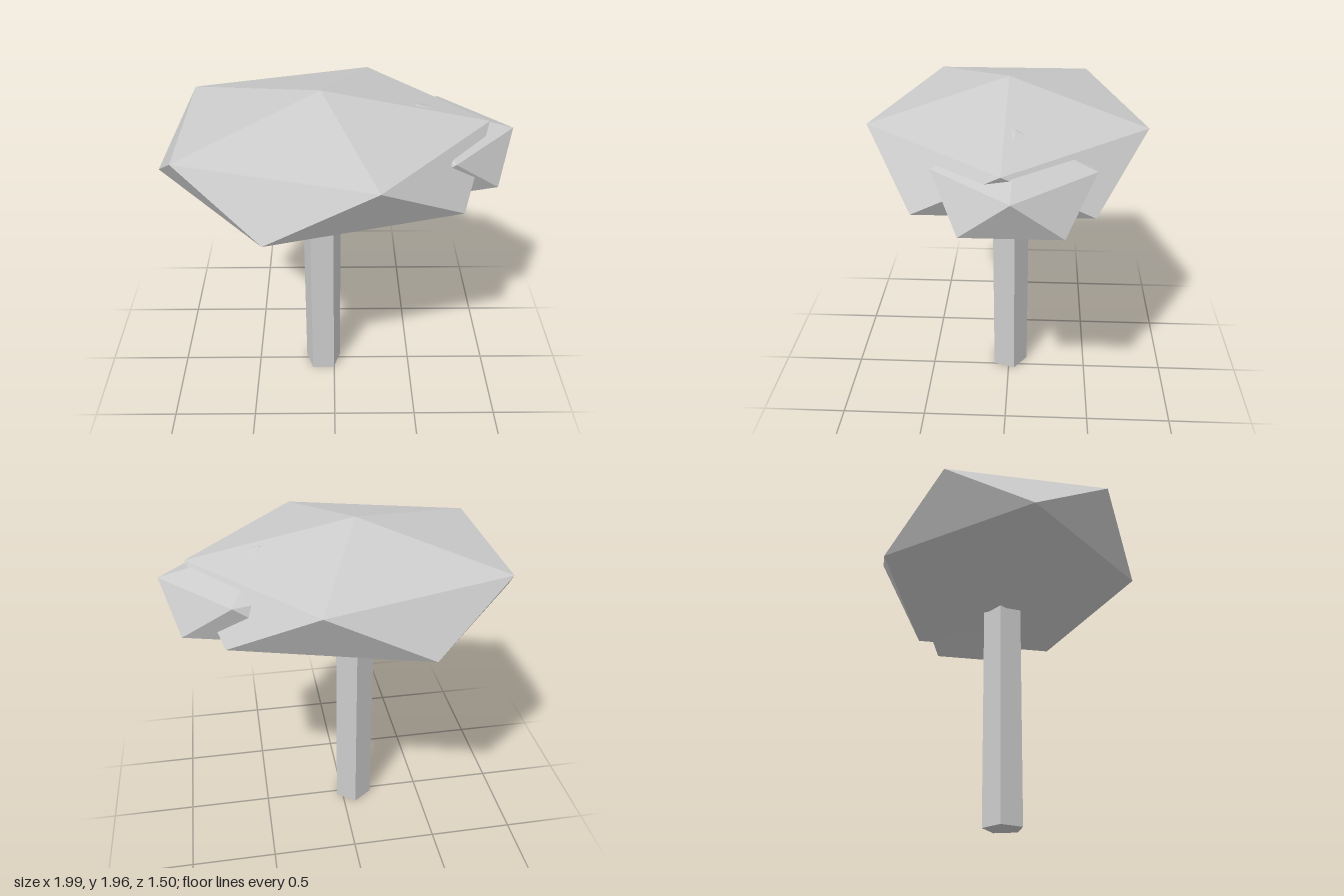
import * as THREE from 'three';

export function createModel() {
  const tree = new THREE.Group();
  tree.name = 'lowPolyTree';
  const paleGrey = new THREE.MeshStandardMaterial({ color: 0xcccccc, flatShading: true });
  paleGrey.name = 'paleGrey';

  // Squashed icosahedron standing on a corner, upper ring pointing to +x
  const tilt = Math.atan(2 / (1 + Math.sqrt(5)));
  function addFoliage(name, center, radii) {
    const geometry = new THREE.IcosahedronGeometry(1, 0);
    geometry.rotateZ(-tilt);
    // ring radius of a unit icosahedron is 2 / sqrt(5)
    const ring = 2 / Math.sqrt(5);
    geometry.scale(radii[0] / ring, radii[1], radii[2] / ring);
    const mesh = new THREE.Mesh(geometry, paleGrey);
    mesh.name = name;
    mesh.position.set(...center);
    tree.add(mesh);
  }
  addFoliage('mainFoliage', [-0.073, 1.633, 0], [0.923, 0.331, 0.789]);
  addFoliage('sideFoliage', [0.457, 1.6, -0.05], [0.54, 0.257, 0.434]);

  // Five-sided trunk with a flat side to the front
  const height = 1.4;
  const trunkGeometry = new THREE.CylinderGeometry(0.118, 0.118, height, 5);
  trunkGeometry.rotateY(Math.PI);
  const trunk = new THREE.Mesh(trunkGeometry, paleGrey);
  trunk.name = 'trunk';
  trunk.position.set(-0.073, height / 2, 0);
  tree.add(trunk);

  return tree;
}
